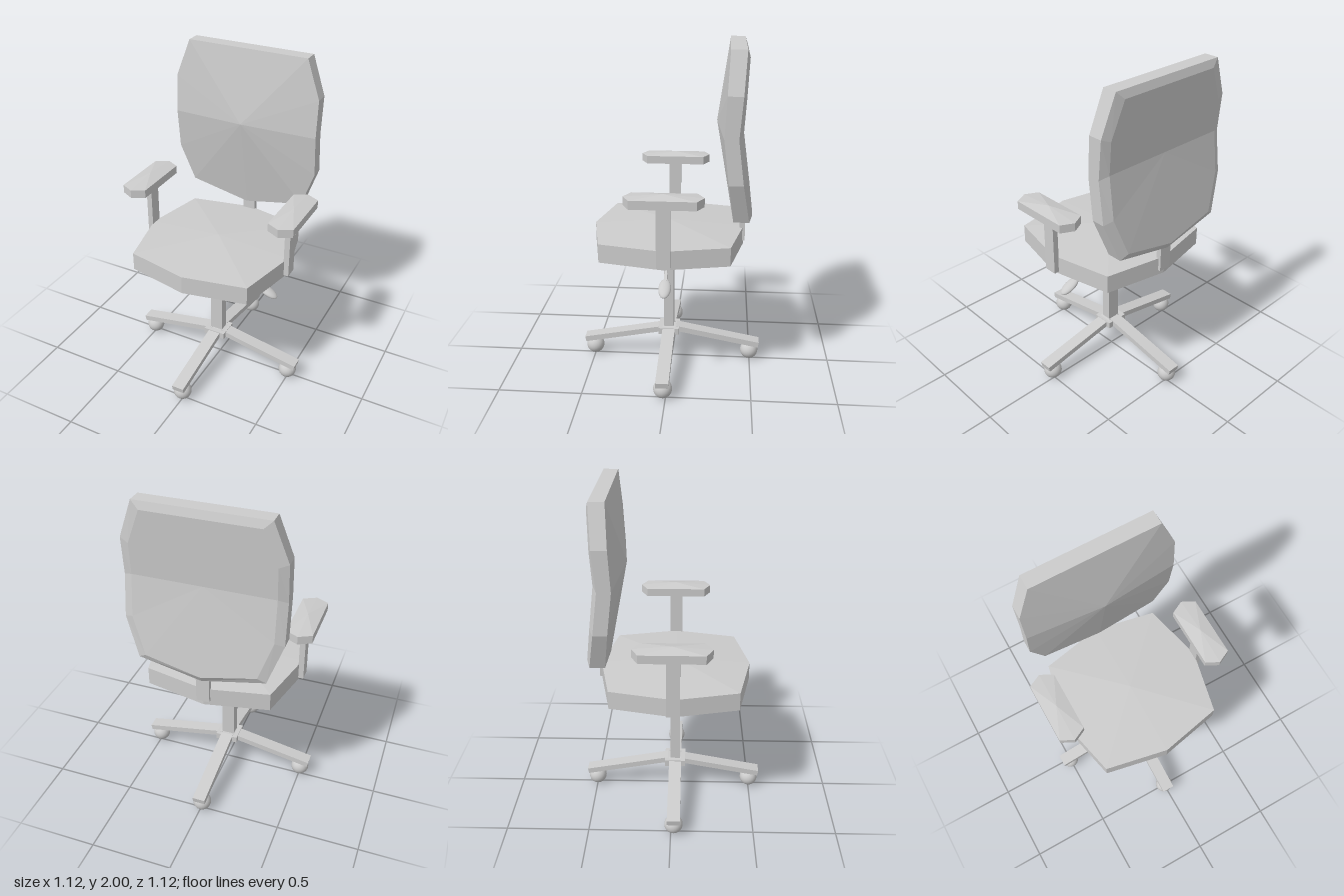
import * as THREE from 'three';

const flat = new THREE.MeshStandardMaterial({ color: 0xcccccc, flatShading: true });
const smooth = new THREE.MeshStandardMaterial({ color: 0xcccccc });
const CX = -0.006, CZ = 0.017; // axis of the chair

function add(parent, name, geometry, x = 0, y = 0, z = 0, material = flat) {
  const mesh = new THREE.Mesh(geometry, material);
  mesh.name = name;
  mesh.position.set(x, y, z);
  parent.add(mesh);
  return mesh;
}

// Box running between two points of the xy plane
function bar(parent, name, x0, y0, x1, y1, z, thick, depth) {
  const len = Math.hypot(x1 - x0, y1 - y0);
  const mesh = add(parent, name, new THREE.BoxGeometry(len, thick, depth), (x0 + x1) / 2, (y0 + y1) / 2, z);
  mesh.rotation.z = Math.atan2(y1 - y0, x1 - x0);
  return mesh;
}

// Stack of equal rings closed by a centre point at each end
function loft(rings, start, end) {
  const n = rings[0].length, pos = [start, ...rings.flat(), end].flat(), index = [];
  const last = rings.length * n + 1;
  for (let i = 0; i < n; i++) {
    const j = (i + 1) % n;
    index.push(0, 1 + j, 1 + i);
    for (let r = 0; r < rings.length - 1; r++) {
      const a = 1 + r * n + i, b = 1 + r * n + j;
      index.push(a, b, b + n, a, b + n, a + n);
    }
    index.push(last, last - n + i, last - n + j);
  }
  const geometry = new THREE.BufferGeometry();
  geometry.setAttribute('position', new THREE.Float32BufferAttribute(pos, 3));
  geometry.setIndex(index);
  geometry.computeVertexNormals();
  return geometry;
}

// Eight-sided cushion with a low peak: half width w, corners cx/cz, half length l
function cushion(w, l, cx, cz, height, peak) {
  const ring = (y) => [[0, y, l], [cx, y, cz], [w, y, 0], [cx, y, -cz],
    [0, y, -l], [-cx, y, -cz], [-w, y, 0], [-cx, y, cz]];
  return loft([ring(0), ring(height)], [0, 0, 0], [0, height + peak, 0]);
}

// Backrest: front rim, rear rim and inset rear panel, mirrored in x
function backrest() {
  const mirror = (half) => [...half, ...half.slice(1, -1).reverse().map(([x, y, z]) => [-x, y, z])];
  const front = mirror([[0, 2, -0.334], [0.378, 2, -0.334], [0.463, 1.77, -0.322], [0.463, 1.54, -0.31],
    [0.463, 1.29, -0.34], [0.378, 1.055, -0.37], [0, 0.975, -0.377]]);
  const rear = mirror([[0, 2, -0.422], [0.378, 2, -0.422], [0.463, 1.77, -0.407], [0.463, 1.54, -0.388],
    [0.463, 1.29, -0.42], [0.378, 1.055, -0.458], [0, 0.975, -0.46]]);
  const panel = mirror([[0, 1.955, -0.437], [0.33, 1.955, -0.437], [0.41, 1.75, -0.424], [0.41, 1.56, -0.412],
    [0.41, 1.31, -0.442], [0.33, 1.085, -0.475], [0, 1.015, -0.484]]);
  return loft([front, rear, panel], [0, 1.555, -0.264], [0, 1.56, -0.412]);
}

export function createModel() {
  const chair = new THREE.Group();
  chair.name = 'officeChair';

  // Seat and back
  add(chair, 'seat', cushion(0.463, 0.455, 0.378, 0.378, 0.112, 0.033), CX, 0.79, CZ);
  add(chair, 'backrest', backrest(), CX);
  add(chair, 'backSupport', new THREE.BoxGeometry(0.08, 0.2, 0.032), CX, 0.92, -0.43);

  // Armrests
  for (const side of [-1, 1]) {
    const arm = new THREE.Group();
    arm.name = side > 0 ? 'leftArmrest' : 'rightArmrest';
    add(arm, 'armPost', new THREE.BoxGeometry(0.034, 0.38, 0.078), CX + side * 0.468, 0.993, 0.014);
    add(arm, 'armPad', cushion(0.077, 0.223, 0.077, 0.184, 0.05, 0.018), CX + side * 0.478, 1.175, 0.01);
    chair.add(arm);
  }

  // Column and height lever
  add(chair, 'column', new THREE.BoxGeometry(0.08, 0.61, 0.06), CX, 0.495, CZ);
  bar(chair, 'leverRod', 0.02, 0.795, 0.3, 0.642, CZ, 0.026, 0.018);
  const paddle = add(chair, 'leverPaddle', new THREE.SphereGeometry(1, 24, 16), 0.335, 0.622, CZ, smooth);
  paddle.scale.set(0.072, 0.021, 0.037);
  paddle.rotation.z = -0.45;

  // Base: hub, four sloping legs and ball casters
  add(chair, 'hub', new THREE.BoxGeometry(0.142, 0.042, 0.13), CX, 0.199, CZ);
  for (let i = 0; i < 4; i++) {
    const leg = new THREE.Group();
    leg.name = 'baseLeg' + (i + 1);
    bar(leg, 'legBar', 0.03, 0.206, 0.557, 0.107, 0, 0.035, 0.078);
    add(leg, 'caster', new THREE.SphereGeometry(0.056, 24, 16), 0.499, 0.056, 0, smooth);
    leg.rotation.y = i * Math.PI / 2;
    leg.position.set(i % 2 ? CX : -0.002, 0, i % 2 ? 0.002 : CZ);
    chair.add(leg);
  }
  return chair;
}
